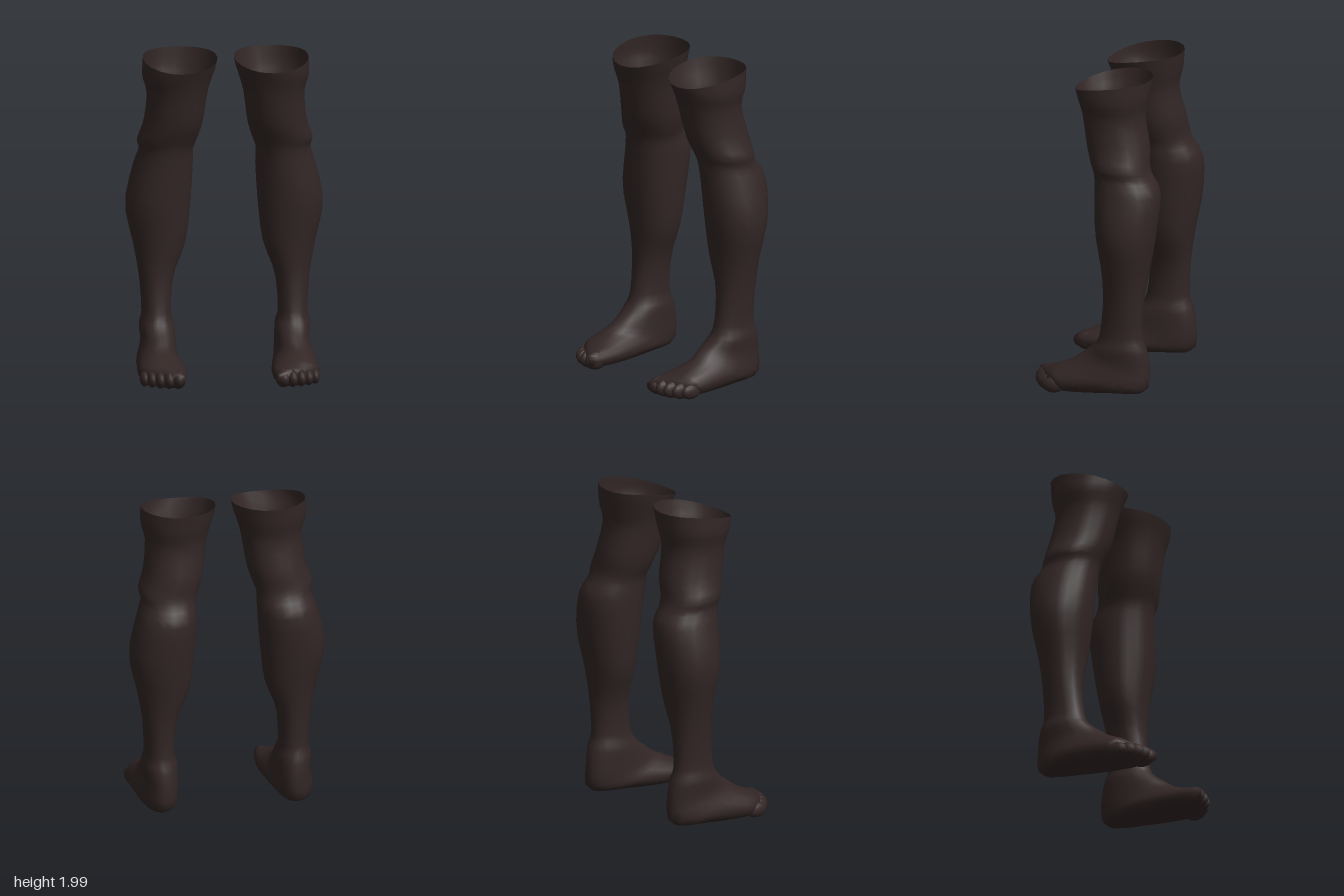
import * as THREE from 'three';

const SEGMENTS = 20;
const RINGS = 40;

// Main cross-sections from the open top down to the toes:
// [front y, front z, back y, back z, inner x, outer x]
const SECTIONS = [
  [1.92, 0.16, 2.0, -0.31, 0.05, 0.505],
  [1.86, 0.14, 1.88, -0.295, 0.08, 0.507],
  [1.76, 0.11, 1.76, -0.272, 0.11, 0.48],
  [1.58, 0.075, 1.58, -0.31, 0.135, 0.498],
  [1.47, 0.035, 1.47, -0.32, 0.168, 0.535],
  [1.41, 0.016, 1.4, -0.345, 0.19, 0.522],
  [1.3, 0.004, 1.3, -0.4, 0.19, 0.555],
  [1.06, -0.013, 1.06, -0.382, 0.205, 0.603],
  [0.82, -0.045, 0.82, -0.34, 0.235, 0.555],
  [0.62, -0.06, 0.62, -0.31, 0.307, 0.52],
  [0.4, -0.037, 0.4, -0.303, 0.325, 0.505],
  // ankle and heel, where the sections swing forward
  [0.32, 0.005, 0.32, -0.33, 0.305, 0.522],
  [0.26, 0.08, 0.19, -0.35, 0.3, 0.515],
  [0.215, 0.14, 0.055, -0.33, 0.292, 0.54],
  // instep and sole
  [0.185, 0.2, 0.028, -0.15, 0.275, 0.55],
  [0.15, 0.275, 0.01, 0.13, 0.26, 0.55],
  [0.115, 0.34, 0.02, 0.32, 0.285, 0.51],
];

// Smooth paths down the front and back of the leg; x holds the inner or outer width
const smoothPath = (points) => new THREE.CatmullRomCurve3(points, false, 'catmullrom', 0.5);
const FRONT = smoothPath(SECTIONS.map(([y, z, , , inner]) => new THREE.Vector3(inner, y, z)));
const BACK = smoothPath(SECTIONS.map(([, , y, z, , outer]) => new THREE.Vector3(outer, y, z)));

// Rounds or squares off a cosine or sine for a superellipse outline
const soften = (v, p) => Math.sign(v) * Math.abs(v) ** p;

function legGeometry(side) {
  const positions = [];
  const indices = [];
  const triangle = (a, b, c) => (side > 0 ? indices.push(a, b, c) : indices.push(a, c, b));

  for (let i = 0; i <= RINGS; i++) {
    const front = FRONT.getPoint(i / RINGS);
    const back = BACK.getPoint(i / RINGS);
    // The forefoot is squarer, and its outer edge sweeps back towards the small toe
    const forefoot = THREE.MathUtils.smoothstep(front.z, 0.24, 0.34);
    const power = 0.95 - 0.2 * forefoot;
    for (let j = 0; j < SEGMENTS; j++) {
      const a = (j / SEGMENTS) * Math.PI * 2;
      const c = soften(Math.cos(a), power);
      const t = (soften(Math.sin(a), power) + 1) / 2;
      const lift = i === 0 ? 0.02 * c * c : 0;
      positions.push(
        side * ((front.x + back.x) / 2 + (c * (back.x - front.x)) / 2),
        THREE.MathUtils.lerp(back.y, front.y, t) + lift,
        THREE.MathUtils.lerp(back.z, front.z, t) - 0.065 * forefoot * c,
      );
    }
  }

  // Skin between rings
  for (let i = 0; i < RINGS; i++) {
    for (let j = 0; j < SEGMENTS; j++) {
      const a = i * SEGMENTS + j;
      const b = i * SEGMENTS + ((j + 1) % SEGMENTS);
      triangle(a, b, a + SEGMENTS);
      triangle(b, b + SEGMENTS, a + SEGMENTS);
    }
  }

  // Closed end behind the toes
  const last = RINGS * SEGMENTS;
  const centre = positions.length / 3;
  positions.push(side * 0.4, 0.068, 0.345);
  for (let j = 0; j < SEGMENTS; j++) triangle(last + j, last + ((j + 1) % SEGMENTS), centre);

  const geometry = new THREE.BufferGeometry();
  geometry.setAttribute('position', new THREE.Float32BufferAttribute(positions, 3));
  geometry.setIndex(indices);
  geometry.computeVertexNormals();
  return geometry;
}

// Toes shrink and step back from the big toe to the small one
function toeMesh(side, i, material) {
  const geometry = new THREE.SphereGeometry(1, 14, 10);
  geometry.scale(i === 0 ? 0.046 : 0.038 - 0.002 * i, 0.059 - 0.003 * i, 0.082 - 0.003 * i);
  const toe = new THREE.Mesh(geometry, material);
  toe.position.set(side * (0.318 + 0.06 * i - 0.0025 * i * i), 0.07 - 0.0025 * i, 0.315 + 0.006 * i - 0.0065 * i * i);
  return toe;
}

export function createModel() {
  const model = new THREE.Group();
  model.name = 'stockings';
  const fabric = new THREE.MeshStandardMaterial({ color: 0x322625, side: THREE.DoubleSide });
  fabric.name = 'dark brown fabric';

  for (const [side, label] of [[1, 'left'], [-1, 'right']]) {
    const stocking = new THREE.Group();
    stocking.name = `${label}Stocking`;

    const leg = new THREE.Mesh(legGeometry(side), fabric);
    leg.name = `${label}LegAndFoot`;
    stocking.add(leg);

    for (let i = 0; i < 5; i++) {
      const toe = toeMesh(side, i, fabric);
      toe.name = `${label}Toe${i + 1}`;
      stocking.add(toe);
    }
    model.add(stocking);
  }
  return model;
}
